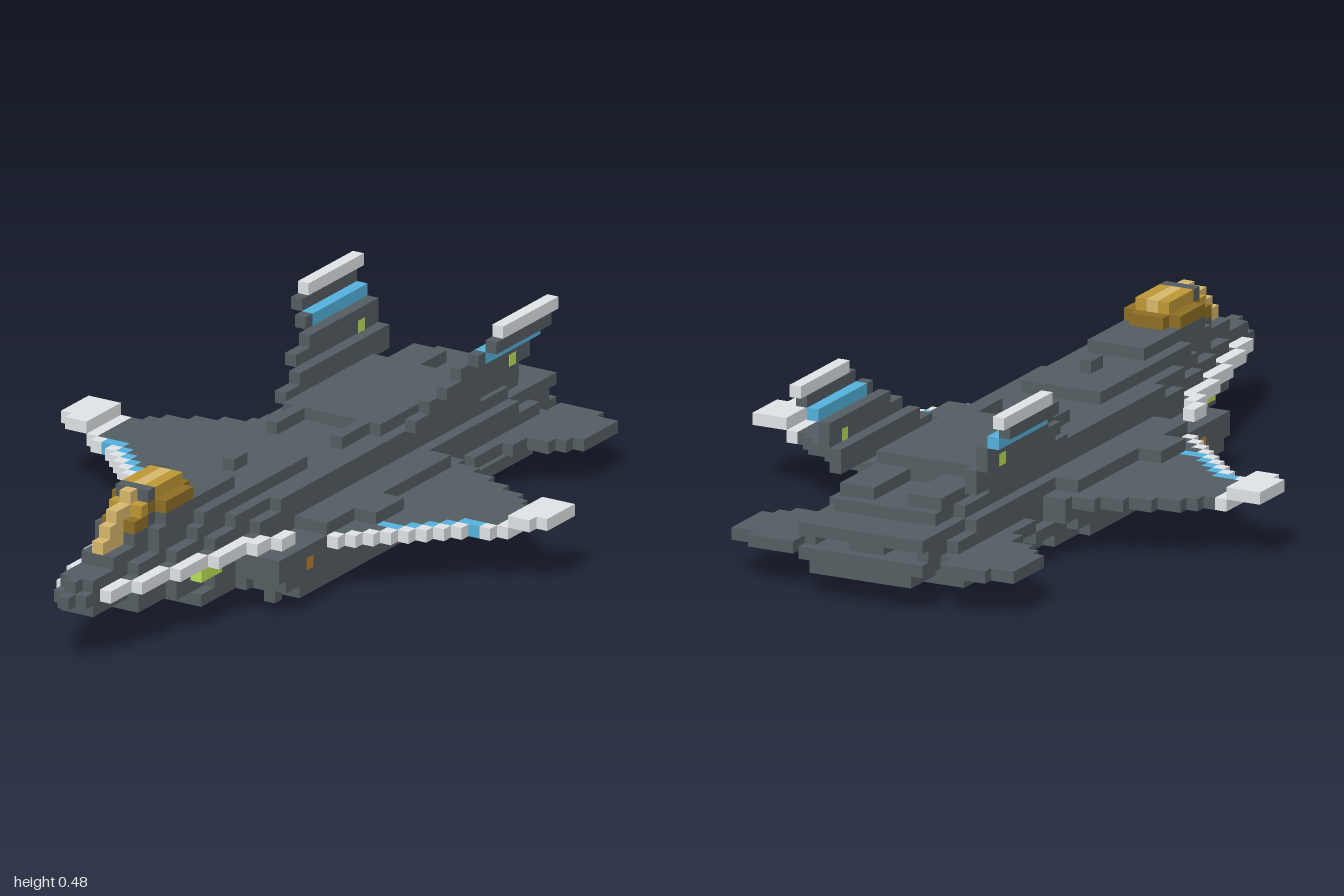
import * as THREE from 'three';
import { mergeGeometries } from 'three/addons/utils/BufferGeometryUtils.js';

const V = 2 / 63; // edge of one block

const paint = (name, color) => {
  const m = new THREE.MeshStandardMaterial({ color });
  m.name = name;
  return m;
};

export function createModel() {
  const grey = paint('dark grey', 0x545e62);
  const light = paint('light grey', 0xe0e4e7);
  const blue = paint('blue', 0x55b2de);
  const lime = paint('lime', 0xbce258);
  const gold = paint('gold', 0xbf9836);
  const darkGold = paint('dark gold', 0x8f6e24);
  const paleGold = paint('pale gold', 0xd8b86c);
  const orange = paint('orange', 0xb88030);
  const model = new THREE.Group();

  // One box in block units: x from the centreline, one layer high at y, z from the tail
  const block = ([x0, x1, y, z0, z1]) =>
    new THREE.BoxGeometry((x1 - x0) * V, V, (z1 - z0) * V)
      .translate((x0 + x1) / 2 * V, (y + 0.5) * V, (z0 + z1) / 2 * V - 1);
  const part = (name, mat, boxes) => {
    const mesh = new THREE.Mesh(mergeGeometries(boxes.map(block)), mat);
    mesh.name = name;
    model.add(mesh);
  };
  const pair = (name, mat, boxes) =>
    part(name, mat, boxes.flatMap(([a, b, ...r]) => [[a, b, ...r], [-b, -a, ...r]]));
  // Slabs [halfWidth, y, z0, z1] centred on the fuselage
  const slabs = (name, mat, list) => part(name, mat, list.map(([w, ...r]) => [-w, w, ...r]));

  // Tapered body: each wider step ends further back; every layer starts at its own step
  const noseEnd = [63, 62, 57, 53, 49, 44];
  const body = [];
  const addLayer = (y, firstStep, tail, shift) => noseEnd.forEach((end, k) => {
    if (k >= firstStep) body.push([k + 0.5, y, tail, end - shift]);
  });
  addLayer(2, 4, 4, -1);
  addLayer(3, 2, 0, 1);
  addLayer(4, 1, 4, 1);
  addLayer(5, 0, 0, 0);
  addLayer(6, 0, 7, 1);
  addLayer(7, 1, 11, 4);
  slabs('fuselage', grey, body);

  // Wide middle body, from the intakes to the engines
  slabs('intakeBody', grey, [
    [6.5, 1, 5, 18], [7.5, 1, 18, 22], [8.5, 1, 22, 42], [8.5, 2, 20, 44], [8.5, 3, 18, 45], [8.5, 4, 18, 45],
    [8.5, 5, 20, 38], [10.5, 5, 30, 34],
  ]);
  slabs('engineBody', grey, [
    [4.5, 2, 0, 4], [7.5, 2, 15, 20], [6.5, 3, 4, 18], [6.5, 4, 4, 18], [6.5, 5, 7, 20], [4.5, 6, 4, 7],
  ]);
  // Walls between the recessed nozzles
  slabs('nozzleDivider', grey, [[1.5, 4, 1, 4]]);
  pair('nozzleWall', grey, [[4.5, 5.5, 4, 1, 4]]);

  // Raised spine behind the canopy
  slabs('spine', grey, [
    [4.5, 8, 11, 24], [3.5, 8, 33, 48], [2.5, 8, 48, 53], [1.5, 8, 53, 55],
    [2.5, 9, 42, 52], [1.5, 9, 52, 53], [0.5, 9, 37, 39],
  ]);
  pair('engineRidge', grey, [[1.5, 4.5, 7, 5, 11], [2.5, 3.5, 8, 24, 28]]);
  pair('bellyPod', grey, [[1.5, 4.5, 0, 15, 24]]);
  pair('intakeStud', grey, [[6.5, 7.5, 1, 43, 44]]);

  // Canopy with a dark frame hoop and a pale centre strip
  slabs('canopySides', darkGold, [[2.5, 10, 48, 52], [1.5, 10, 47, 48], [1.5, 10, 52, 53]]);
  pair('windscreenSides', darkGold, [[0.5, 1.5, 9, 53, 55]]);
  pair('canopyGlass', gold, [[0.5, 1.5, 11, 48, 52], [0.5, 1.5, 10, 53, 54]]);
  slabs('canopyStrip', paleGold, [
    [0.5, 11, 48, 52], [0.5, 11, 53, 54], [0.5, 10, 53, 56], [0.5, 9, 53, 57], [0.5, 8, 55, 58],
  ]);
  slabs('canopyFrame', grey, [[1.5, 11, 52, 53]]);

  // Light strakes filling each step of the nose taper
  const strake = [[6.5, 7.5, 5, 41, 43], [5.5, 6.5, 5, 43, 45]];
  for (let k = 1; k < 5; k++) strake.push([k + 0.5, k + 1.5, 5, noseEnd[k + 1], Math.min(60, noseEnd[k])]);
  pair('noseStrake', light, strake);

  // Wings, row by row: stepped trailing edge, straight swept leading edge
  const trailing = [7.5, 10.5, 12.5, 14.5, 16.5, 17.5];
  const wing = [], stripe = [], edge = [];
  for (let z = 18; z < 38; z++) {
    const outer = trailing[z - 18] ?? Math.min(19.5, (z < 30 ? 47.5 : 46.5) - z);
    const edgeStart = z < 24 ? outer : outer - 1;
    const striped = z >= 29 && z <= 33;
    const stripeStart = striped ? edgeStart - (z === 29 || z === 33 ? 2 : 1) : edgeStart;
    wing.push([5.5, stripeStart, 4, z, z + 1]);
    if (striped) stripe.push([stripeStart, edgeStart, 4, z, z + 1]);
    if (z >= 24) edge.push([edgeStart, outer, 4, z, z + 1]);
  }
  pair('wing', grey, wing);
  pair('wingStripe', blue, stripe);
  pair('wingLeadingEdge', light, edge);
  pair('wingTip', light, [[19.5, 22.5, 5, 24, 28], [19.5, 21.5, 5, 28, 29]]);

  // Tailplanes
  pair('tailplane', grey, [
    [6.5, 10.5, 3, 1, 2], [6.5, 12.5, 3, 2, 7], [5.5, 11.5, 3, 3, 8],
    [5.5, 10.5, 3, 8, 9], [5.5, 8.5, 3, 9, 11], [5.5, 7.5, 3, 11, 15],
  ]);

  // Canted fins, stepping outward and shortening with height
  pair('fin', grey, [
    [5.5, 6.5, 8, 7, 22], [5.5, 6.5, 9, 7, 20], [6.5, 7.5, 10, 7, 19],
    [6.5, 7.5, 11, 7, 17], [7.5, 8.5, 12, 15, 16], [8.5, 9.5, 13, 7, 15],
  ]);
  pair('finStripe', blue, [[7.5, 8.5, 12, 7, 15]]);
  pair('finCap', light, [[8.5, 9.5, 14, 6, 14]]);
  pair('finLight', lime, [[6.48, 7.52, 10, 9, 10]]);

  // Side markings
  pair('sideLight', lime, [[3.5, 4.52, 4, 47, 50]]);
  pair('intakeMark', orange, [[8.5, 8.52, 3, 40, 41]]);

  return model;
}
